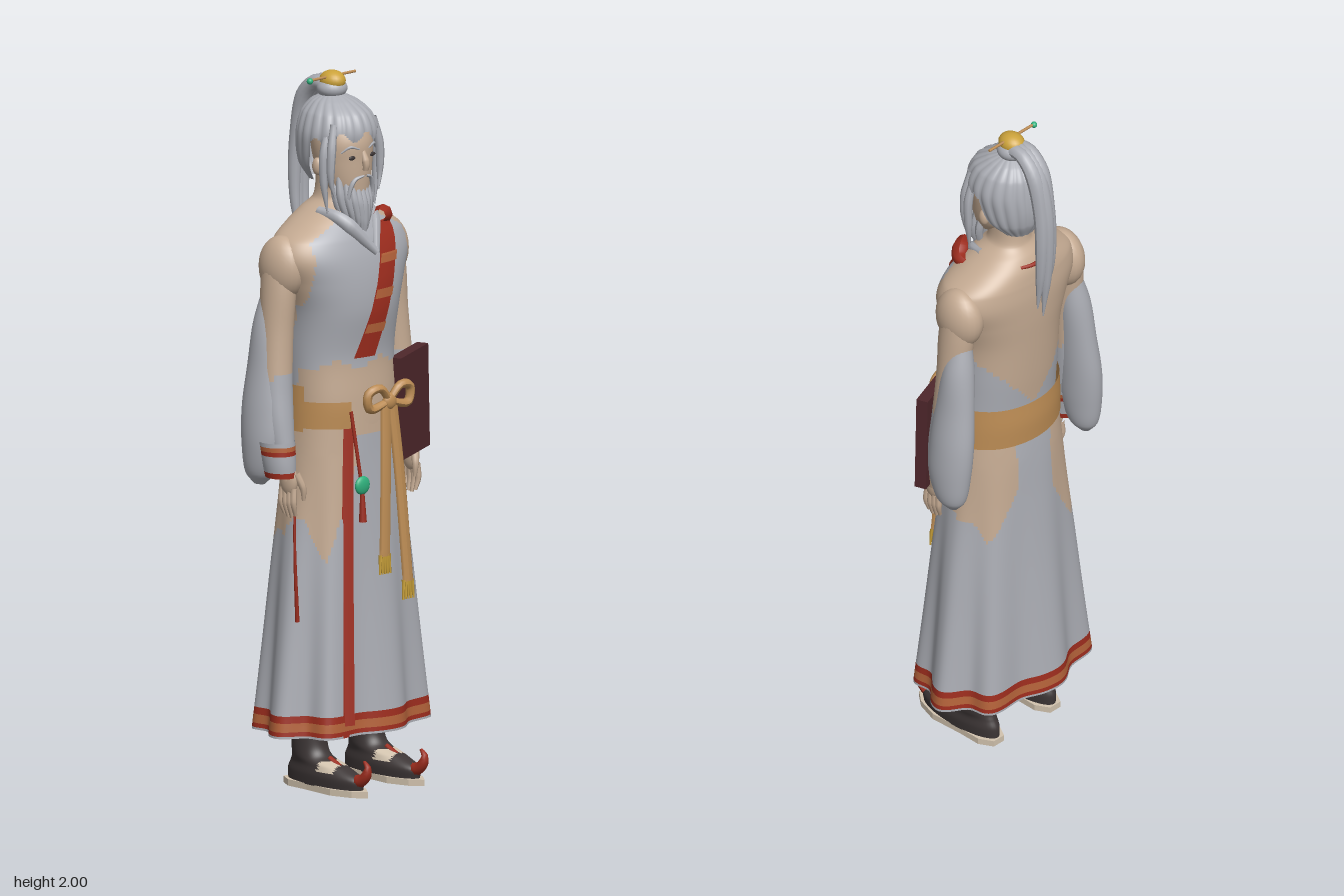
import * as THREE from 'three';

const mat = (name, color, open) => Object.assign(new THREE.MeshStandardMaterial({ color }), { name }, open ? { side: THREE.DoubleSide } : {});
const grey = mat('silver cloth and hair', 0xabadb4, true), skin = mat('skin', 0xc4aa92);
const red = mat('red trim', 0x9e2d1e, true), orange = mat('copper trim', 0xb5633a, true);
const tan = mat('tan belt', 0xbd8d55, true), dark = mat('charcoal', 0x3d3636, true);
const maroon = mat('maroon cover', 0x4e272b), gold = mat('gold', 0xcba23a);
const jade = mat('jade', 0x2fb07c), cream = mat('cream sole', 0xd2c3ae);
const V = (x, y, z) => new THREE.Vector3(x, y, z);

// Body cross-sections, bottom to top: [y, centre x, centre z, half width, half depth]
const TORSO = [[0.85, 0, -0.01, 0.17, 0.11], [1.0, 0, -0.01, 0.168, 0.12], [1.1, 0, -0.012, 0.165, 0.12], [1.22, 0, -0.02, 0.165, 0.122],
  [1.35, 0, -0.015, 0.174, 0.135], [1.43, 0, -0.018, 0.2, 0.136], [1.5, 0, -0.024, 0.228, 0.13], [1.55, 0, -0.03, 0.212, 0.119],
  [1.59, 0, -0.037, 0.15, 0.104], [1.62, 0, -0.04, 0.1, 0.085], [1.65, 0, -0.04, 0.058, 0.06], [1.74, 0, -0.035, 0.052, 0.055]];
const SKIRT = [[0.165, 0, -0.015, 0.262, 0.172], [0.225, 0, -0.015, 0.255, 0.168], [0.4, 0, -0.015, 0.237, 0.157],
  [0.6, 0, -0.015, 0.217, 0.145], [0.8, 0, -0.015, 0.193, 0.135], [0.95, 0, -0.015, 0.178, 0.128], [1.06, 0, -0.012, 0.167, 0.121]];

// Front z of a lofted body at x, y
function frontZ(rows, x, y) {
  let i = 0;
  while (i < rows.length - 2 && rows[i + 1][0] < y) i++;
  const t = (y - rows[i][0]) / (rows[i + 1][0] - rows[i][0]);
  const [, , cz, rx, rz] = rows[i].map((v, k) => v + (rows[i + 1][k] - v) * t);
  return cz + rz * Math.sqrt(Math.max(0.02, 1 - (x / rx) ** 2));
}

export function createModel() {
  const model = new THREE.Group();
  model.name = 'robedElder';
  const add = (name, geo, material, x = 0, y = 0, z = 0, sx = 1, sy = 1, sz = 1) => {
    const m = new THREE.Mesh(geo, material);
    m.name = name;
    m.position.set(x, y, z);
    m.scale.set(sx, sy, sz);
    model.add(m);
    return m;
  };
  const ball = (name, material, x, y, z, rx, ry, rz) => add(name, new THREE.SphereGeometry(1, 24, 16), material, x, y, z, rx, ry, rz);

  // Smooth loft; pick(x, y, z, angle) gives each face its material, or null for a hole
  function loft(name, rows, pick, { seg = 48, steps = 40, fold = () => 1, p = 1 } = {}) {
    const mid = new THREE.CatmullRomCurve3(rows.map(r => V(r[1], r[0], r[2])));
    const size = new THREE.CatmullRomCurve3(rows.map(r => V(r[3], r[0], r[4])));
    const pos = [], byMat = new Map();
    const pw = v => Math.sign(v) * Math.abs(v) ** p;
    for (let i = 0; i <= steps; i++) {
      const c = mid.getPoint(i / steps), s = size.getPoint(i / steps);
      for (let j = 0; j < seg; j++) {
        const a = j / seg * Math.PI * 2, f = fold(a, c.y);
        pos.push(c.x + pw(Math.sin(a)) * s.x * f, c.y, c.z + pw(Math.cos(a)) * s.z * f);
      }
    }
    for (let i = 0; i < steps; i++) for (let j = 0; j < seg; j++) {
      const a = i * seg + j, b = i * seg + (j + 1) % seg, c = a + seg, d = b + seg;
      const at = k => (pos[a * 3 + k] + pos[d * 3 + k]) / 2;
      let ang = (j + 0.5) / seg * Math.PI * 2;
      if (ang > Math.PI) ang -= Math.PI * 2;
      const m = pick(at(0), at(1), at(2), ang);
      if (!m) continue;
      if (!byMat.has(m)) byMat.set(m, []);
      byMat.get(m).push(a, b, d, a, d, c);
    }
    const geo = new THREE.BufferGeometry(), index = [], mats = [...byMat.keys()];
    geo.setAttribute('position', new THREE.Float32BufferAttribute(pos, 3));
    mats.forEach((m, k) => {
      geo.addGroup(index.length, byMat.get(m).length, k);
      index.push(...byMat.get(m));
    });
    geo.setIndex(index);
    geo.computeVertexNormals();
    return add(name, geo, mats);
  }

  // Tube along points whose radius follows a list; wide stretches it across x
  function strand(name, material, pts, radii, { wide = 1, seg = 8, steps = 20 } = {}) {
    const path = new THREE.CatmullRomCurve3(pts.map(q => V(...q)));
    const geo = new THREE.TubeGeometry(path, steps, 1, seg), at = geo.attributes.position;
    for (let i = 0; i < at.count; i++) {
      const t = Math.floor(i / (seg + 1)) / steps, c = path.getPointAt(t);
      const k = Math.min(radii.length - 2, Math.floor(t * (radii.length - 1)));
      const r = THREE.MathUtils.lerp(radii[k], radii[k + 1], t * (radii.length - 1) - k);
      at.setXYZ(i, c.x + (at.getX(i) - c.x) * r * wide, c.y + (at.getY(i) - c.y) * r, c.z + (at.getZ(i) - c.z) * r);
    }
    geo.computeVertexNormals();
    return add(name, geo, material);
  }

  // Thin cloth strip: centre(t) gives [x, y], depth(x, y) gives z
  function ribbon(name, material, centre, depth, width, t0 = 0, t1 = 1) {
    const geo = new THREE.PlaneGeometry(1, 1, 4, 16), at = geo.attributes.position;
    for (let i = 0; i < at.count; i++) {
      const [cx, y] = centre(THREE.MathUtils.lerp(t0, t1, 0.5 - at.getY(i))), x = cx + at.getX(i) * width;
      at.setXYZ(i, x, y, depth(x, y));
    }
    geo.computeVertexNormals();
    return add(name, geo, material);
  }

  // Torso: bare back, vest on the chest, bare waist in front
  loft('torso', TORSO, (x, y, z) => {
    const ax = Math.abs(x);
    if (z > -0.02) return y > 1.2 + 0.012 * Math.sin(x * 45) && y < 1.64 - 0.5 * ax && ax < 0.178 ? grey : skin;
    return y < 1.13 + ax * 1.1 && y < 1.33 ? grey : skin;
  }, { seg: 96, steps: 96, p: 0.92 });

  // Pleated skirt with trimmed hem, trimmed opening and bare hips
  const openingX = y => -0.085 - 0.054 * (1.03 - y);
  loft('skirt', SKIRT, (x, y, z) => {
    if (y > 0.172 && y < 0.225) return y > 0.183 && y < 0.208 ? orange : red;
    if (z > 0.05 && Math.abs(x - openingX(y)) < 0.012) return red;
    const ax = Math.abs(x), slope = z < -0.03 ? 1.7 : 2.6;
    const tip = (x < 0 ? 0.67 : 0.72) + slope * Math.abs(ax - 0.16) + 0.02 * Math.sin(z * 60);
    if (z > 0.03 && y > 1.0) return skin;
    return ax > 0.065 && y > tip ? skin : grey;
  }, { seg: 144, steps: 112, p: 0.88, fold: (a, y) => 1 + 0.075 * Math.min(1, Math.max(0, (0.95 - y) / 0.75)) * Math.cos(a * 8 - 0.8) });
  ribbon('skirtOpeningTrim', red, t => [openingX(1.03 - 0.83 * t), 1.03 - 0.83 * t], (x, y) => frontZ(SKIRT, x, y) + 0.006 + 0.015 * (1.03 - y), 0.028);

  // Belt: full at the back, a short length at the front
  loft('belt', [[1.015, 0, -0.013, 0.181, 0.137], [1.08, 0, -0.013, 0.179, 0.14], [1.143, 0, -0.013, 0.176, 0.137]],
    (x, y, z) => z > 0.02 && (x > -0.085 || y > 1.1 || y < 1.025) ? null : tan, { steps: 12, seg: 64 });
  for (const s of [-1, 1]) {
    strand('bowLoop', tan, [[0.04, 1.09, 0.132], [0.04 + s * 0.04, 1.13, 0.137], [0.04 + s * 0.08, 1.118, 0.132], [0.04 + s * 0.074, 1.075, 0.13], [0.04, 1.088, 0.132]], [0.01, 0.013, 0.013, 0.01]);
  }
  ball('bowKnot', tan, 0.04, 1.088, 0.133, 0.024, 0.024, 0.014);
  for (const [x0, x1, y1] of [[0.025, 0.0, 0.66], [0.05, 0.078, 0.58]]) {
    const z1 = 0.155 + (0.66 - y1) * 0.15;
    strand('beltTail', tan, [[x0, 1.08, 0.133], [(x0 + x1) / 2, 0.9, 0.146], [x1, y1, z1]], [0.007, 0.007, 0.007], { wide: 2.9 });
    for (let i = -2; i <= 2; i++) strand('tailFringe', gold, [[x1 + i * 0.008, y1 + 0.005, z1], [x1 + i * 0.01, y1 - 0.05, z1 + 0.002]], [0.006, 0.003], { steps: 3, seg: 5 });
  }

  // Jade pendant with tassel
  strand('pendantCord', red, [[-0.088, 1.075, 0.112], [-0.07, 0.87, 0.135]], [0.005, 0.005]);
  ball('pendant', jade, -0.07, 0.868, 0.138, 0.027, 0.026, 0.011);
  strand('pendantTassel', red, [[-0.07, 0.845, 0.138], [-0.07, 0.765, 0.14]], [0.006, 0.011]);
  strand('hangingThread', red, [[-0.225, 0.9, 0.03], [-0.235, 0.7, 0.04], [-0.22, 0.49, 0.035]], [0.003, 0.004, 0.006]);

  // Diagonal sash and collar
  const sashLine = t => [0.082 - 0.115 * t, 1.585 - 0.365 * t], onChest = d => (x, y) => frontZ(TORSO, x, y) + d;
  ribbon('sash', red, sashLine, onChest(0.012), 0.07);
  for (const t of [0.22, 0.48, 0.74]) ribbon('sashStripe', orange, sashLine, onChest(0.016), 0.07, t, t + 0.07);
  strand('sashShoulder', red, [[0.055, 1.6, 0.078], [0.085, 1.6, 0.06], [0.112, 1.588, 0.04], [0.118, 1.585, -0.005]], [0.018, 0.026, 0.02, 0.012]);
  strand('collarRight', grey, [[-0.085, 1.62, -0.02], [-0.068, 1.605, 0.05], [0.01, 1.51, 0.115]], [0.014, 0.022, 0.01]);
  strand('collarLeft', grey, [[0.085, 1.62, -0.02], [0.065, 1.6, 0.045], [0.01, 1.51, 0.112]], [0.012, 0.016, 0.01]);
  strand('collarBack', red, [[-0.045, 1.603, -0.128], [0.0, 1.6, -0.138], [0.045, 1.603, -0.128]], [0.005, 0.006, 0.005]);

  for (const s of [-1, 1]) {
    // Shoulders, arms with sleeved forearms, hanging sleeves and hands
    ball('shoulder', skin, s * 0.198, 1.475, -0.045, 0.056, 0.09, 0.076);
    loft('arm', [[0.89, s * 0.236, 0.012, 0.02, 0.024], [0.95, s * 0.238, 0.0, 0.03, 0.032], [1.05, s * 0.238, -0.02, 0.042, 0.042], [1.15, s * 0.233, -0.035, 0.046, 0.046],
      [1.3, s * 0.222, -0.043, 0.045, 0.047], [1.42, s * 0.212, -0.047, 0.046, 0.054], [1.51, s * 0.2, -0.05, 0.048, 0.05]],
      (x, y, z) => y > 0.965 && y < 1.185 + 0.02 * Math.sin(z * 50) ? grey : skin, { seg: 28, steps: 48 });
    loft('sleeve', [[0.87, s * 0.258, -0.075, 0.012, 0.018], [0.9, s * 0.258, -0.072, 0.036, 0.045], [0.98, s * 0.256, -0.064, 0.049, 0.067], [1.08, s * 0.25, -0.066, 0.051, 0.07],
      [1.2, s * 0.238, -0.066, 0.047, 0.061], [1.32, s * 0.227, -0.068, 0.044, 0.046], [1.41, s * 0.215, -0.066, 0.03, 0.03]], () => grey, { seg: 32 });
    ball('palm', skin, s * 0.236, 0.89, 0.018, 0.017, 0.045, 0.03);
    for (let i = 0; i < 4; i++) strand('finger', skin, [[s * 0.238, 0.87, 0.04 - i * 0.015], [s * 0.241, 0.825, 0.042 - i * 0.016], [s * 0.232, 0.782 + Math.abs(i - 1.4) * 0.007, 0.04 - i * 0.014]], [0.009, 0.009, 0.005]);
    strand('thumb', skin, [[s * 0.23, 0.91, 0.04], [s * 0.218, 0.87, 0.055], [s * 0.215, 0.835, 0.055]], [0.012, 0.01, 0.005]);

    // Boots, soles and curled toes
    const x = s * 0.11;
    loft('boot', [[0.016, x, 0.035, 0.044, 0.14], [0.045, x, 0.035, 0.047, 0.14], [0.07, x, 0.015, 0.044, 0.108], [0.095, x, -0.02, 0.046, 0.062], [0.16, x, -0.03, 0.048, 0.05], [0.5, x * 0.95, -0.02, 0.056, 0.058]],
      (px, y, z) => y > 0.058 && y < 0.085 && z > 0.045 && z < 0.1 && Math.abs(px - x) > 0.008 ? cream : dark, { steps: 60 });
    const outline = new THREE.Shape([[0, -0.2], [0.028, -0.165], [0.048, -0.1], [0.042, 0.0], [0.042, 0.07], [0.02, 0.11], [-0.02, 0.11], [-0.042, 0.07], [-0.042, 0], [-0.048, -0.1], [-0.028, -0.165]].map(q => new THREE.Vector2(...q)));
    add('sole', new THREE.ExtrudeGeometry(outline, { depth: 0.018, bevelEnabled: false }).rotateX(-Math.PI / 2), cream, x, 0, 0);
    strand('curledToe', red, [[x, 0.09, 0.05], [x, 0.062, 0.11], [x, 0.042, 0.16], [x, 0.056, 0.188], [x, 0.086, 0.2], [x, 0.102, 0.185]], [0.008, 0.009, 0.01, 0.019, 0.014, 0.004]);

    // Face details and hair locks
    ball('ear', skin, s * 0.083, 1.745, -0.025, 0.013, 0.025, 0.016);
    ball('eye', dark, s * 0.038, 1.775, 0.066, 0.013, 0.006, 0.004);
    strand('eyebrow', grey, [[s * 0.018, 1.798, 0.075], [s * 0.045, 1.806, 0.066], [s * 0.066, 1.79, 0.05]], [0.002, 0.004, 0.002]);
    strand('moustache', grey, [[s * 0.004, 1.722, 0.078], [s * 0.03, 1.712, 0.069], [s * 0.045, 1.67, 0.06], [s * 0.042, 1.62, 0.058]], [0.003, 0.007, 0.006, 0.002]);
    for (const [dx, z, low] of [[0, 0.04, 1.665], [0.007, 0.018, 1.62]])
      strand('sideLock', grey, [[s * 0.076, 1.87, z * 0.8], [s * (0.093 + dx), 1.79, z], [s * (0.094 + dx), 1.71, z], [s * (0.084 + dx), low, z + 0.005]], [0.01, 0.013, 0.011, 0.002]);
  }
  // Right cuff
  loft('rightCuff', [[0.9, -0.25, 0.0, 0.04, 0.045], [0.94, -0.252, -0.005, 0.045, 0.05], [1.0, -0.253, -0.015, 0.05, 0.055]],
    (x, y) => y < 0.916 ? red : y > 0.965 && y < 0.985 ? (y < 0.975 ? red : orange) : grey, { steps: 20 });

  // Book under the left arm
  const book = add('book', new THREE.BoxGeometry(0.18, 0.29, 0.034), maroon, 0.203, 1.048, 0.048);
  book.rotation.set(0, 0.36, 0.04);

  // Head
  loft('head', [[1.645, 0, 0.03, 0.01, 0.01], [1.662, 0, 0.025, 0.042, 0.042], [1.7, 0, 0.005, 0.066, 0.068], [1.76, 0, -0.01, 0.08, 0.084], [1.82, 0, -0.015, 0.083, 0.087], [1.88, 0, -0.03, 0.065, 0.07], [1.91, 0, -0.035, 0.01, 0.01]], () => skin);
  strand('nose', skin, [[0, 1.79, 0.07], [0, 1.755, 0.082], [0, 1.737, 0.08]], [0.007, 0.011, 0.008]);
  loft('hair', [[1.695, 0, -0.075, 0.05, 0.045], [1.74, 0, -0.055, 0.088, 0.088], [1.79, 0, -0.04, 0.103, 0.11], [1.84, 0, -0.032, 0.107, 0.115], [1.89, 0, -0.036, 0.09, 0.1], [1.92, 0, -0.045, 0.06, 0.065], [1.94, 0, -0.05, 0.02, 0.02]],
    (x, y, z, a) => Math.abs(a) < 1.5 && y < 1.832 + 0.014 * Math.cos(a * 9) - 0.03 * Math.max(0, Math.abs(a) - 0.8) ? null : grey,
    { seg: 120, steps: 60, fold: a => 1 + 0.05 * (Math.abs(Math.sin(a * 10)) - 0.6) });

  // Beard of tapering strands
  for (let i = -4; i <= 4; i++) for (const back of [0, 1]) {
    const k = i / 4, z = 0.066 - k * k * 0.03 - back * 0.02;
    strand('beardStrand', grey, [[k * 0.056, 1.69 + k * k * 0.035, z - 0.005], [k * 0.055, 1.65, z + 0.006], [k * 0.036, 1.6, z + 0.01], [k * 0.02, 1.535 + Math.abs(k) * 0.04 + back * 0.015, z + 0.008]], [0.008, 0.012, 0.01, 0.002]);
  }

  // Topknot, crown, hairpin and ponytail
  ball('topknot', grey, 0, 1.95, -0.052, 0.043, 0.03, 0.043);
  ball('crown', gold, 0, 1.971, -0.05, 0.034, 0.029, 0.04);
  add('hairpin', new THREE.CylinderGeometry(0.004, 0.004, 0.17, 8).rotateZ(Math.PI / 2), tan, 0, 1.984, -0.047);
  ball('hairpinBead', jade, -0.09, 1.982, -0.047, 0.009, 0.009, 0.009);
  for (const [dx, dz, end] of [[0, 0, 1.44], [-0.014, 0.006, 1.5], [0.014, 0.006, 1.47]])
    strand('ponytail', grey, [[dx, 1.96, -0.07], [dx, 1.962, -0.1], [dx, 1.92, -0.145], [dx, 1.8, -0.182 + dz], [dx * 1.2, 1.65, -0.188 + dz], [dx * 1.1, end, -0.172 + dz]], [0.02, 0.024, 0.021, 0.019, 0.014, 0.002], { seg: 12, steps: 32 });

  return model;
}
